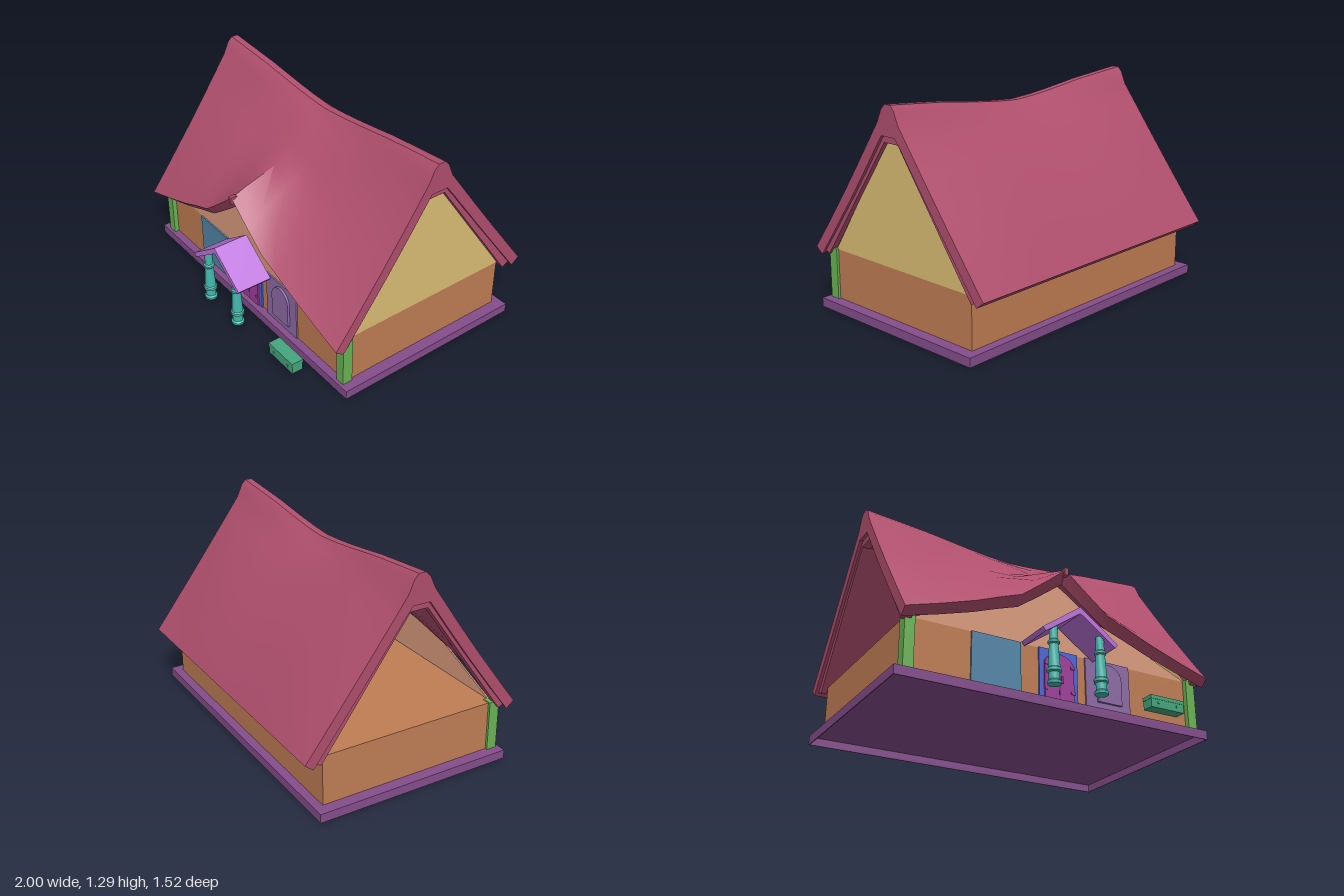
import * as THREE from 'three';
import { toCreasedNormals } from 'three/addons/utils/BufferGeometryUtils.js';

const mat = (color) => new THREE.MeshStandardMaterial({ color, side: THREE.DoubleSide });
const M = {
  roof: mat(0xb04f6e), base: mat(0x854d8c), wall: mat(0xc07d54), peach: mat(0xdb9c7e), yellow: mat(0xdcbe74),
  post: mat(0x6ab454), blue: mat(0x5286a8), frame: mat(0x4c66d6), door: mat(0xa03f9c), purple: mat(0x8e6ca6),
  lilac: mat(0xbe76de), teal: mat(0x42b8ac), bench: mat(0x45a57d), metal: mat(0x5c2860),
};

export function createModel() {
  const group = new THREE.Group();
  const add = (name, geo, m) => {
    const mesh = new THREE.Mesh(geo, m);
    mesh.name = name;
    group.add(mesh);
    return mesh;
  };
  // box given by its min and max on each axis
  const box = (name, m, x0, x1, y0, y1, z0, z1) =>
    add(name, new THREE.BoxGeometry(x1 - x0, y1 - y0, z1 - z0)
      .translate((x0 + x1) / 2, (y0 + y1) / 2, (z0 + z1) / 2), m);
  const outline = (pts) => new THREE.Shape(pts.map(([a, b]) => new THREE.Vector2(a, b)));
  // outline in x,y pushed along z
  const plate = (name, m, shape, z0, z1) =>
    add(name, new THREE.ExtrudeGeometry(shape, { depth: z1 - z0, bevelEnabled: false }).translate(0, 0, z0), m);
  // outline in z,y pushed along x
  const sidePlate = (name, m, pts, x0, x1) =>
    add(name, new THREE.ExtrudeGeometry(outline(pts), { depth: x1 - x0, bevelEnabled: false })
      .rotateY(-Math.PI / 2).translate(x1, 0, 0), m);
  // pointed round arch
  const arch = (cx, hw, y0, spring, top) => {
    const s = new THREE.Shape();
    s.moveTo(cx - hw, y0);
    s.lineTo(cx + hw, y0);
    s.lineTo(cx + hw, spring);
    s.quadraticCurveTo(cx + hw * 0.8, top - 0.01, cx, top);
    s.quadraticCurveTo(cx - hw * 0.8, top - 0.01, cx - hw, spring);
    return s;
  };

  // base: a tray open below
  box('baseTop', M.base, -1, 1, 0.048, 0.055, -0.68, 0.57);
  for (const x of [-1, 0.994]) box('baseSide', M.base, x, x + 0.006, 0, 0.05, -0.68, 0.57);
  for (const z of [-0.68, 0.564]) box('baseEdge', M.base, -1, 1, 0, 0.05, z, z + 0.006);

  // walls
  box('walls', M.wall, -0.93, 0.93, 0.052, 0.36, -0.625, 0.52);
  for (const s of [-1, 1]) box('cornerPost', M.post, s * 0.915 - 0.03, s * 0.915 + 0.03, 0.055, 0.365, 0.485, 0.55);

  // gables
  sidePlate('sideGable', M.yellow, [[0.5, 0.36], [0, 1.1], [-0.11, 1.1], [-0.63, 0.36]], 0.925, 0.93);
  plate('frontGable', M.peach, outline([[-0.9, 0.36], [0.9, 0.36], [0.57, 0.5], [0.29, 0.61],
    [0, 0.795], [-0.29, 0.61], [-0.57, 0.5]]), 0.51, 0.52);

  // roof: one closed cross-section per station along x
  const half = [[0, 1, 0], [0.15, 0.74, 0.1], [0.29, 0.51, 0.25], [0.43, 0.4, 0.43],
    [0.57, 0.28, 0.62], [0.78, 0.13, 0.82], [0.98, 0, 1]]; // x, eave lift, ridge lift
  const stations = [...half.slice(1).reverse().map(([x, w, f]) => [-x, w, f]), ...half];
  const backZ = [-0.76, -0.67, -0.5, -0.34, -0.23, -0.14];
  const ridge = [[-0.108, -0.03], [-0.08, 0], [-0.035, 0], [-0.005, -0.03]];
  const front = [[0.03, 1.15], [0.17, 1.035], [0.22, 0.985], [0.33, 0.935], [0.53, 0.87], [0.63, 0.83]];
  const section = ([x, w, f]) => {
    const outer = [], inner = [];
    const end = x ** 4;
    const shoulder = 1.15 + 0.04 * f;
    for (const z of backZ) {
      const t = (z + 0.76) / 0.62;
      const y = 0.37 + (shoulder - 0.37) * t + Math.sin(Math.PI * t) * (0.05 - 0.06 * end);
      outer.push([z, y]);
      inner.push(t > 0.99 ? [-0.11, 1.12] : [z + 0.05, y - 0.04]);
    }
    for (const [z, drop] of ridge) {
      outer.push([z, 1.2 + 0.095 * f + drop]);
      inner.push([THREE.MathUtils.clamp(z, -0.1, -0.01), 1.12]);
    }
    for (const [z, c] of front) {
      const t = (z - 0.03) / 0.6;
      const line = shoulder + (0.36 - shoulder) * t - 0.015 * end * Math.sin(Math.PI * t);
      const y = line + w * (c - line);
      outer.push([z, y]);
      inner.push(z < 0.05 ? [0, 1.12] : [z - 0.05, y - 0.04 - 0.03 * w]);
    }
    return [...outer, ...inner.reverse()].map(([z, y]) => [x, y, z]);
  };
  const rings = stations.map(section);
  const pos = [];
  const quad = (a, b, c, d) => pos.push(...a, ...b, ...c, ...a, ...c, ...d);
  const n = rings[0].length;
  for (let i = 0; i < rings.length - 1; i++)
    for (let j = 0; j < n; j++) {
      const k = (j + 1) % n;
      quad(rings[i][j], rings[i][k], rings[i + 1][k], rings[i + 1][j]);
    }
  const [first, last] = [rings[0], rings[rings.length - 1]];
  for (let j = 0; j < n / 2 - 1; j++) {
    quad(last[j], last[j + 1], last[n - 2 - j], last[n - 1 - j]);
    quad(first[n - 1 - j], first[n - 2 - j], first[j + 1], first[j]);
  }
  const roofGeo = new THREE.BufferGeometry();
  roofGeo.setAttribute('position', new THREE.Float32BufferAttribute(pos, 3));
  add('roof', toCreasedNormals(roofGeo, 0.6), M.roof);
  box('dormerTip', M.roof, -0.012, 0.012, 0.795, 0.84, 0.6, 0.64);

  // barge boards under both roof ends, and the lining of the back slope between them
  for (const x of [-0.96, 0.91])
    sidePlate('bargeBoard', M.roof, [[0.585, 0.35], [0.01, 1.14], [-0.12, 1.14], [-0.715, 0.355],
      [-0.65, 0.33], [-0.11, 1.08], [0, 1.08], [0.535, 0.33]], x, x + 0.05);
  sidePlate('backLining', M.roof, [[-0.02, 1.13], [-0.12, 1.13], [-0.71, 0.36],
    [-0.65, 0.335], [-0.11, 1.085], [-0.02, 1.085]], -0.91, 0.91);

  // front panels, door and window
  box('bluePanel', M.blue, -0.545, -0.24, 0.055, 0.362, 0.51, 0.53);
  box('windowPanel', M.purple, 0.18, 0.48, 0.055, 0.362, 0.51, 0.53);
  plate('window', M.purple, arch(0.335, 0.08, 0.105, 0.27, 0.34), 0.53, 0.545);
  box('doorFrame', M.frame, -0.125, 0.125, 0.055, 0.362, 0.51, 0.53);
  plate('door', M.door, arch(0, 0.095, 0.055, 0.28, 0.34), 0.53, 0.54);
  box('doorSeam', M.metal, -0.002, 0.002, 0.06, 0.33, 0.538, 0.541);
  for (const s of [-1, 1]) {
    box('doorHandle', M.door, s * 0.015 - 0.006, s * 0.015 + 0.006, 0.165, 0.205, 0.54, 0.548);
    for (const y of [0.11, 0.26]) box('hinge', M.door, s * 0.085 - 0.012, s * 0.085 + 0.012, y, y + 0.015, 0.54, 0.545);
  }

  // porch roof and turned columns
  plate('porchRoof', M.lilac, outline([[0, 0.535], [0.243, 0.36], [0.225, 0.338], [0, 0.495],
    [-0.225, 0.338], [-0.243, 0.36]]), 0.54, 0.765);
  const profile = [[0, 0.06], [0.038, 0.06], [0.04, 0.075], [0.031, 0.085], [0.031, 0.125], [0.041, 0.132], [0.041, 0.148],
    [0.034, 0.155], [0.026, 0.29], [0.033, 0.298], [0.033, 0.31], [0.025, 0.318], [0.023, 0.4], [0, 0.4]];
  const column = toCreasedNormals(
    new THREE.LatheGeometry(profile.map(([r, y]) => new THREE.Vector2(r, y)), 16), 0.6);
  for (const s of [-1, 1]) add('porchColumn', column, M.teal).position.set(s * 0.15, 0, 0.722);

  // bench chest
  box('benchBody', M.bench, 0.482, 0.708, 0.058, 0.11, 0.653, 0.725);
  box('benchTop', M.bench, 0.48, 0.71, 0.108, 0.13, 0.65, 0.727);
  for (const x of [0.53, 0.66]) box('benchStud', M.bench, x - 0.006, x + 0.006, 0.082, 0.094, 0.722, 0.728);

  return group;
}
